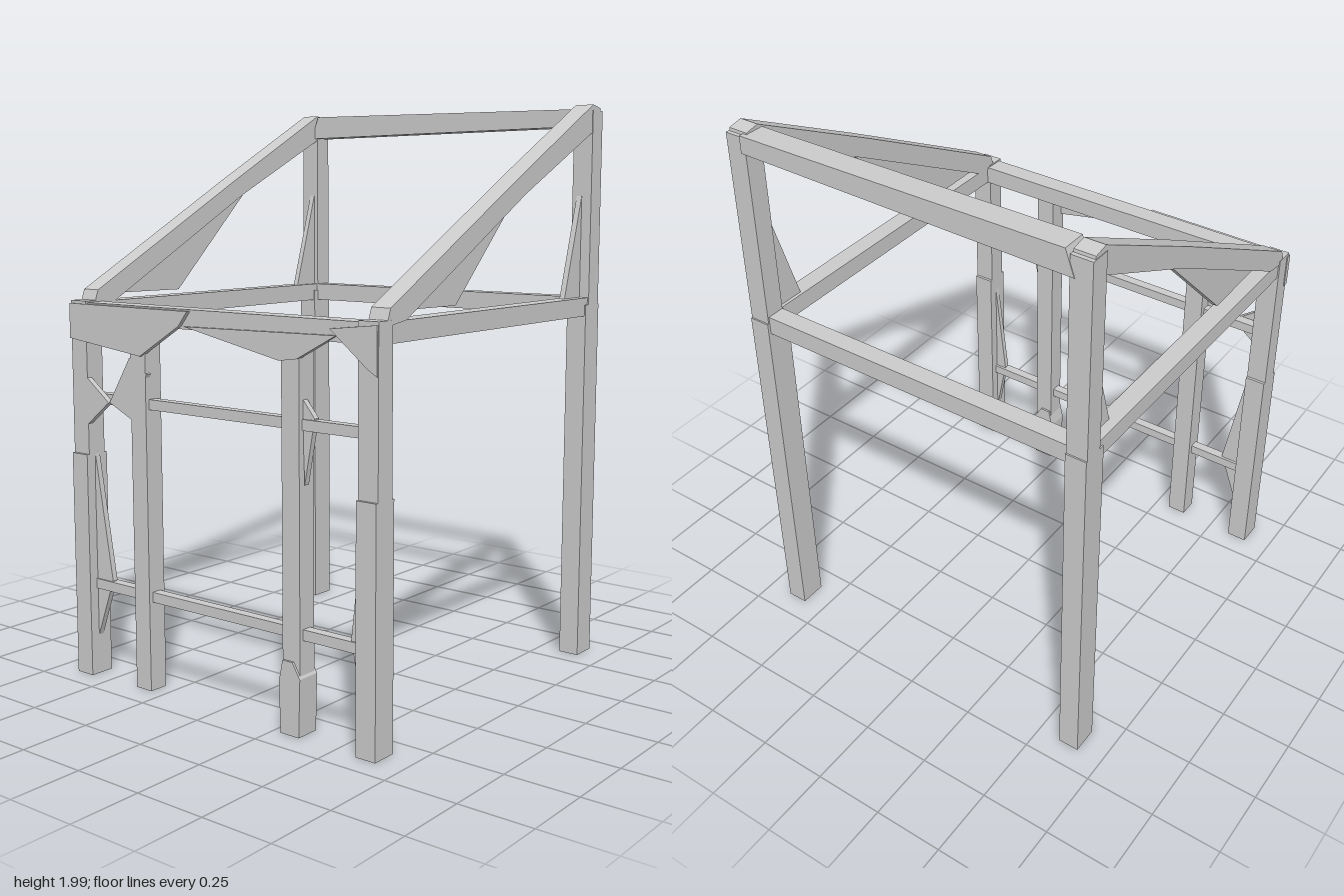
import * as THREE from 'three';

const material = new THREE.MeshStandardMaterial({ color: 0xcccccc, flatShading: true, side: THREE.DoubleSide });

export function createModel() {
  const group = new THREE.Group();
  const add = (name, geometry) => {
    const mesh = new THREE.Mesh(geometry, material);
    mesh.name = name;
    group.add(mesh);
    return mesh;
  };

  // Box given by its lower and upper corners
  const box = (name, [x0, y0, z0], [x1, y1, z1]) => {
    add(name, new THREE.BoxGeometry(x1 - x0, y1 - y0, z1 - z0))
      .position.set((x0 + x1) / 2, (y0 + y1) / 2, (z0 + z1) / 2);
  };

  // Thin plate outlined in the front plane, centred at depth z
  const frontPlate = (name, points, z, t = 0.02) => {
    const shape = new THREE.Shape(points.map(p => new THREE.Vector2(...p)));
    const geo = new THREE.ExtrudeGeometry(shape, { depth: t, bevelEnabled: false });
    add(name, geo.translate(0, 0, z - t / 2));
  };

  // Thin plate outlined as (z, y) in the side plane, centred at x
  const sidePlate = (name, points, x, t = 0.02) => {
    const shape = new THREE.Shape(points.map(([z, y]) => new THREE.Vector2(-z, y)));
    const geo = new THREE.ExtrudeGeometry(shape, { depth: t, bevelEnabled: false });
    add(name, geo.translate(0, 0, -t / 2).rotateY(Math.PI / 2).translate(x, 0, 0));
  };

  for (const s of [-1, 1]) {
    const side = s > 0 ? 'left' : 'right';
    const x0 = s * 0.62 - 0.037, x1 = s * 0.62 + 0.037;

    // Corner posts, the back ones narrowing above the rail
    box(side + 'FrontPost', [x0, 0.01, 0.58], [x1, 0.8, 0.67]);
    box(side + 'FrontPostTop', [x0, 0.78, 0.59], [x1, 1.33, 0.66]);
    box(side + 'BackPost', [x0, 0.01, -0.67], [x1, 1.3, -0.575]);
    box(side + 'BackPostTop', [x0, 1.28, -0.665], [x1, 1.98, -0.595]);

    // Inner front posts
    const m = s > 0 ? 0.32 : -0.34;
    box(side + 'InnerPost', [m - 0.035, 0.01, 0.585], [m + 0.035, 1.27, 0.655]);

    // Side rail and sloping rafter
    box(side + 'Rail', [x0 + 0.005, 1.26, -0.6], [x1 - 0.005, 1.325, 0.6]);
    sidePlate(side + 'Rafter', [[0.62, 1.31], [0.6, 1.365], [-0.1, 1.74], [-0.6, 2], [-0.65, 1.99],
      [-0.66, 1.92], [-0.59, 1.9], [-0.15, 1.69], [0.52, 1.325]], s * 0.62, 0.07);

    // Gussets at both ends of the sloping side
    sidePlate(side + 'RafterGusset', [[0.54, 1.35], [0.2, 1.345], [-0.17, 1.7]], s * 0.605);
    sidePlate(side + 'BackGusset', [[-0.6, 1.7], [-0.485, 1.32], [-0.64, 1.32]], s * 0.61);
  }

  // Long rails across the front and back
  box('frontRail', [-0.64, 1.26, 0.58], [0.64, 1.325, 0.65]);
  box('backRail', [-0.6, 1.26, -0.66], [0.6, 1.325, -0.595]);
  frontPlate('topBeam', [[-0.6, 1.91], [0.6, 1.925], [0.6, 1.985], [-0.57, 1.995]], -0.625, 0.085);

  // Thin crossbars between the front posts
  box('upperCrossbar', [-0.6, 0.98, 0.605], [0.6, 1.015, 0.64]);
  box('lowerCrossbar', [-0.6, 0.32, 0.605], [0.6, 0.355, 0.64]);

  // Braces under the front rail
  frontPlate('rightCornerBrace', [[-0.66, 1.2], [-0.32, 1.16], [-0.14, 1.27], [-0.1, 1.32], [-0.66, 1.32]], 0.655);
  frontPlate('middleBrace', [[-0.12, 1.27], [0.28, 1.19], [0.35, 1.2], [0.5, 1.28]], 0.65);
  frontPlate('leftCornerBrace', [[0.48, 1.3], [0.62, 1.19], [0.655, 1.17], [0.655, 1.32]], 0.655);

  // Splinter-shaped plates on the posts
  frontPlate('postPlate', [[-0.655, 0.85], [-0.48, 0.99], [-0.655, 1.12]], 0.65);
  frontPlate('postPlate', [[-0.48, 0.99], [-0.37, 0.94], [-0.3, 1.1], [-0.38, 1.15]], 0.645);
  frontPlate('postPlate', [[-0.58, 0.8], [-0.62, 0.05], [-0.505, 0.36]], 0.625);
  frontPlate('postPlate', [[0.35, 1.08], [0.4, 1.02], [0.36, 0.81]], 0.625);
  frontPlate('postPlate', [[0.59, 0.8], [0.54, 0.36], [0.6, 0.05]], 0.625);

  // Flared foot of the left inner post
  frontPlate('innerPostFoot', [[0.28, 0.01], [0.355, 0.01], [0.36, 0.2], [0.33, 0.25], [0.29, 0.25], [0.275, 0.18]], 0.62, 0.085);

  return group;
}
